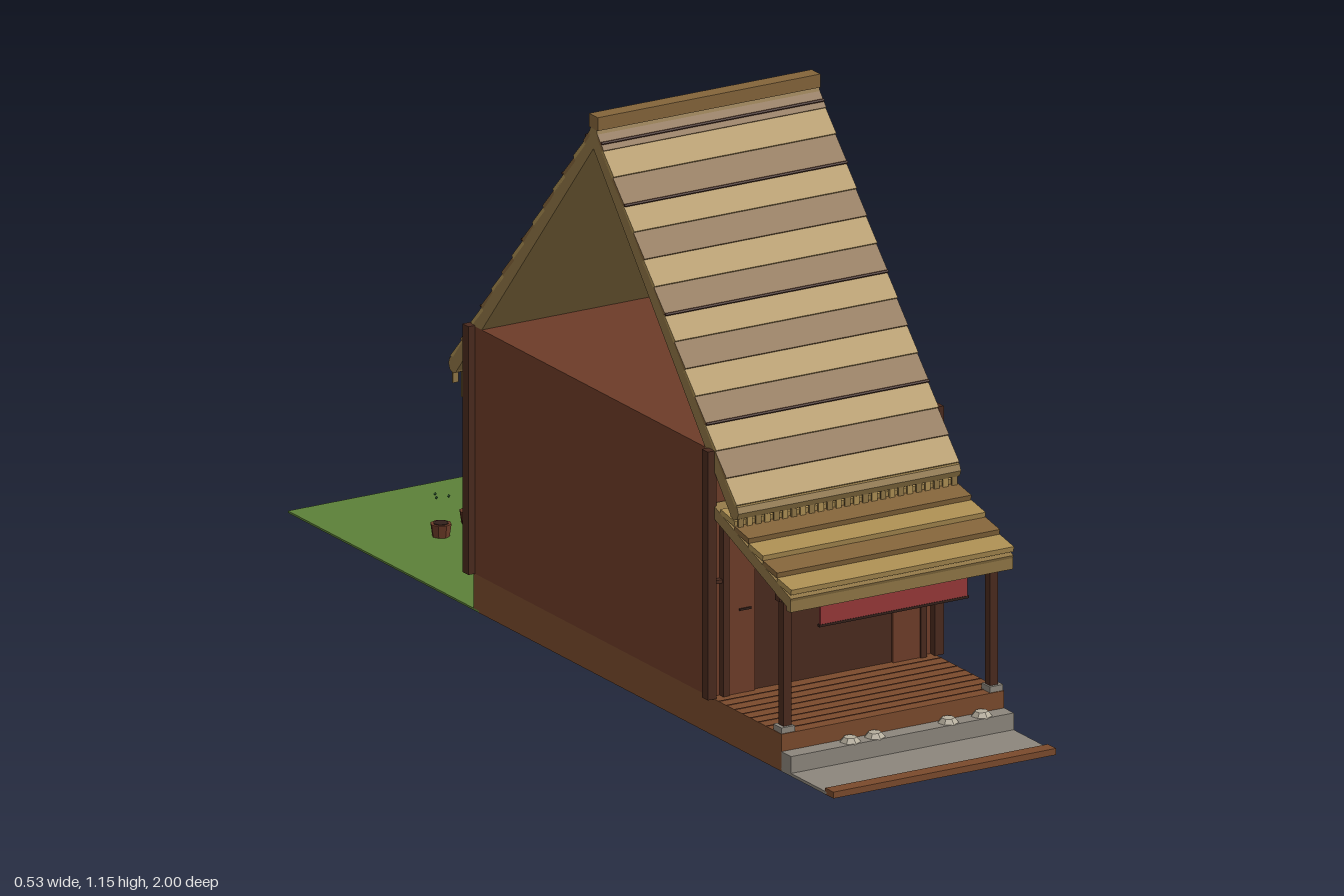
import * as THREE from 'three';

const C = {
  straw: 0xab8d52, strawDark: 0x83643a, slab: 0x8f7545, wall: 0x6d3c28, floor: 0x7a4a2c,
  wood: 0x4a2a1e, dark: 0x33201a, grass: 0x5c8038, stone: 0x8c867c, pale: 0xb5ad9c, red: 0x963838, leaf: 0x2f5a30,
};
const mats = {};
const mat = (c) => (mats[c] ??= new THREE.MeshStandardMaterial({ color: c, flatShading: true, side: THREE.DoubleSide }));

let seed = 7;
const rand = () => (seed = (seed * 16807) % 2147483647) / 2147483647;

function add(parent, name, geo, color, x = 0, y = 0, z = 0) {
  const m = new THREE.Mesh(geo, mat(color));
  m.name = name;
  m.position.set(x, y, z);
  parent.add(m);
  return m;
}
// Box given by its extents
function box(parent, name, color, x0, x1, y0, y1, z0, z1) {
  return add(parent, name, new THREE.BoxGeometry(x1 - x0, y1 - y0, z1 - z0), color, (x0 + x1) / 2, (y0 + y1) / 2, (z0 + z1) / 2);
}
// Board of thickness t spanning the width w between two (z, y) points
function slope(parent, name, color, [z0, y0], [z1, y1], t, w = 0.5) {
  const m = add(parent, name, new THREE.BoxGeometry(w, t, Math.hypot(z1 - z0, y1 - y0)), color, 0, (y0 + y1) / 2, (z0 + z1) / 2);
  m.rotation.x = -Math.atan2(y1 - y0, z1 - z0);
  return m;
}
function rod(parent, name, color, r, y, z, sides = 8) {
  const m = add(parent, name, new THREE.CylinderGeometry(r, r, 0.5, sides), color, 0, y, z);
  m.rotation.z = Math.PI / 2;
  return m;
}
function group(parent, name) {
  const g = new THREE.Group();
  g.name = name;
  parent.add(g);
  return g;
}

function buildGround(root) {
  const g = group(root, 'ground');
  box(g, 'grass', C.grass, -0.25, 0.25, 0.03, 0.034, -1, -0.3);
  box(g, 'pavement', C.stone, -0.25, 0.25, 0.03, 0.036, 0.8, 0.975);
  box(g, 'kerb', C.floor, -0.25, 0.25, 0.03, 0.043, 0.97, 1);
  box(g, 'step', C.stone, -0.25, 0.25, 0.03, 0.07, 0.8, 0.845);
  // Flat stones lying on the step
  for (const x of [-0.105, -0.05, 0.115, 0.19]) {
    add(g, 'steppingStone', new THREE.CylinderGeometry(0.013, 0.022, 0.01, 7), C.pale, x, 0.074, 0.825);
  }
}

function buildHouse(root) {
  const g = group(root, 'house');
  box(g, 'foundation', C.floor, -0.25, 0.25, 0.03, 0.105, -0.32, 0.81);
  for (let i = 1; i < 9; i++) box(g, 'floorSeam', C.wall, -0.25, 0.25, 0.105, 0.106, 0.55 + i * 0.029, 0.552 + i * 0.029);
  box(g, 'walls', C.wall, -0.25, 0.25, 0.105, 0.605, -0.318, 0.548);
  for (const s of [-1, 1]) {
    for (const z of [0.553, -0.325]) {
      box(g, 'cornerPost', C.wood, s * 0.255 - 0.01, s * 0.255 + 0.01, 0.105, 0.607, z - 0.011, z + 0.011);
    }
    // Front panels beside the doorway
    box(g, 'frontPanel', C.wall, s * 0.185 - 0.03, s * 0.185 + 0.03, 0.105, 0.46, 0.545, 0.558);
    box(g, 'panelBar', C.dark, s * 0.178 - 0.013, s * 0.178 + 0.013, 0.272, 0.276, 0.556, 0.561);
    box(g, 'frontStud', C.wood, s * 0.222 - 0.007, s * 0.222 + 0.007, 0.105, 0.46, 0.545, 0.562);
    box(g, 'frontRail', C.wood, s * 0.235 - 0.015, s * 0.235 + 0.015, 0.335, 0.342, 0.545, 0.56);
  }
  box(g, 'frontDoor', C.wood, -0.155, 0.155, 0.105, 0.46, 0.545, 0.552);

  // Back wall battens and framed door
  for (const x of [-0.16, 0.115, 0.19]) box(g, 'backBatten', C.wood, x - 0.004, x + 0.004, 0.105, 0.6, -0.324, -0.317);
  for (const y of [0.2, 0.39]) box(g, 'backRail', C.wood, -0.25, 0.25, y - 0.004, y + 0.004, -0.323, -0.317);
  box(g, 'backDoor', C.wall, -0.07, 0.06, 0.105, 0.375, -0.326, -0.317);
  for (const x of [-0.072, 0.062]) box(g, 'doorJamb', C.wood, x - 0.007, x + 0.007, 0.105, 0.38, -0.333, -0.317);
  box(g, 'doorMullion', C.wood, -0.009, -0.001, 0.2, 0.375, -0.33, -0.317);
  for (const y of [0.2, 0.285, 0.375]) box(g, 'doorRail', C.wood, -0.072, 0.062, y - 0.005, y + 0.005, -0.331, -0.317);
}

function buildRoof(root) {
  const g = group(root, 'roof');
  const run = 0.515, drop = 0.61, len = Math.hypot(run, drop), apexZ = 0.12, apexY = 1.11;
  for (const s of [-1, 1]) {
    // Point at distance d down the slope, raised by h along its outward normal
    const at = (d, h) => [apexZ + s * (d * run + h * drop) / len, apexY + (-d * drop + h * run) / len];
    slope(g, 'roofSlab', C.slab, at(0, 0), at(len, 0), 0.026);
    // Overlapping courses of thatch
    slope(g, 'thatchCourse', C.strawDark, at(0, 0.015), at(0.035, 0.016), 0.008);
    for (let i = 0; i < 13; i++) {
      const d = 0.033 + i * 0.0582;
      slope(g, 'thatchCourse', i % 2 ? C.strawDark : C.straw, at(d, 0.013), at(d + 0.0582, 0.017), 0.008);
    }
    for (const d of [0.02, 0.152, 0.384, 0.617]) rod(g, 'bindingPole', C.wood, 0.003, ...at(d, 0.021).reverse(), 6);
    const [ez, ey] = at(len, 0);
    rod(g, 'eavePole', C.slab, 0.017, ey + 0.004, ez);
    // Ragged straw fringe below the eave
    for (let i = 0; i < 25; i++) {
      const x = -0.24 + i * 0.02, h = s > 0 ? 0.03 : 0.035 + rand() * 0.035;
      box(g, 'strawFringe', i % 2 ? C.straw : C.slab, x - 0.006, x + 0.006, ey - h, ey, ez + s * 0.008 - 0.002, ez + s * 0.008 + 0.002);
    }
  }
  rod(g, 'ridgePole', C.slab, 0.016, 1.118, apexZ);
  box(g, 'ridgeCap', C.strawDark, -0.25, 0.25, 1.13, 1.157, apexZ - 0.016, apexZ + 0.016);
}

function buildPorch(root) {
  const g = group(root, 'porch');
  slope(g, 'porchRoof', C.slab, [0.55, 0.487], [0.84, 0.377], 0.024);
  // Stepped courses, each tilted flatter than the roof below
  for (let i = 0; i < 5; i++) {
    const z = 0.585 + i * 0.052, y = 0.49 - i * 0.0197;
    slope(g, 'porchCourse', i % 2 ? C.strawDark : C.straw, [z, y], [z + 0.052, y - 0.01], 0.011);
  }
  box(g, 'porchFascia', C.slab, -0.25, 0.25, 0.36, 0.386, 0.828, 0.842);
  box(g, 'porchBeam', C.wood, -0.25, 0.25, 0.37, 0.39, 0.785, 0.803);
  for (const s of [-1, 1]) {
    box(g, 'porchPost', C.wood, s * 0.232 - 0.009, s * 0.232 + 0.009, 0.105, 0.39, 0.784, 0.802);
    box(g, 'postFoot', C.stone, s * 0.234 - 0.015, s * 0.234 + 0.015, 0.105, 0.117, 0.778, 0.808);
  }
  box(g, 'hangingCloth', C.red, -0.165, 0.165, 0.312, 0.368, 0.808, 0.814);
  box(g, 'clothHem', C.dark, -0.168, 0.168, 0.308, 0.313, 0.807, 0.815);
}

function buildGarden(root) {
  const g = group(root, 'garden');
  const boulder = add(g, 'boulder', new THREE.DodecahedronGeometry(0.06, 0), C.wall, 0.11, 0.09, -0.517);
  boulder.rotation.set(0.55, 0.2, 0);
  for (const [x, z] of [[-0.078, -0.72], [0.01, -0.757]]) {
    const p = group(g, 'pottedPlant');
    p.position.set(x, 0, z);
    add(p, 'pot', new THREE.CylinderGeometry(0.021, 0.017, 0.027, 8), C.wall, 0, 0.046, 0);
    add(p, 'soil', new THREE.CylinderGeometry(0.015, 0.015, 0.003, 8), C.dark, 0, 0.0595, 0);
    // Spiky leaves under the pot and small buds above
    for (let i = 0; i < 7; i++) {
      const a = (i / 7) * Math.PI * 2;
      const leaf = add(p, 'leaf', new THREE.ConeGeometry(0.004, 0.032, 4), C.leaf, Math.cos(a) * 0.019, 0.018, Math.sin(a) * 0.019);
      leaf.rotation.set(Math.PI - Math.sin(a) * 0.6, 0, Math.cos(a) * 0.6);
      if (i % 2) add(p, 'bud', new THREE.OctahedronGeometry(0.004), C.leaf, Math.cos(a) * 0.016, 0.108 + rand() * 0.012, Math.sin(a) * 0.016);
    }
  }
}

export function createModel() {
  const root = new THREE.Group();
  root.name = 'thatchedHouse';
  buildGround(root);
  buildHouse(root);
  buildRoof(root);
  buildPorch(root);
  buildGarden(root);
  return root;
}
